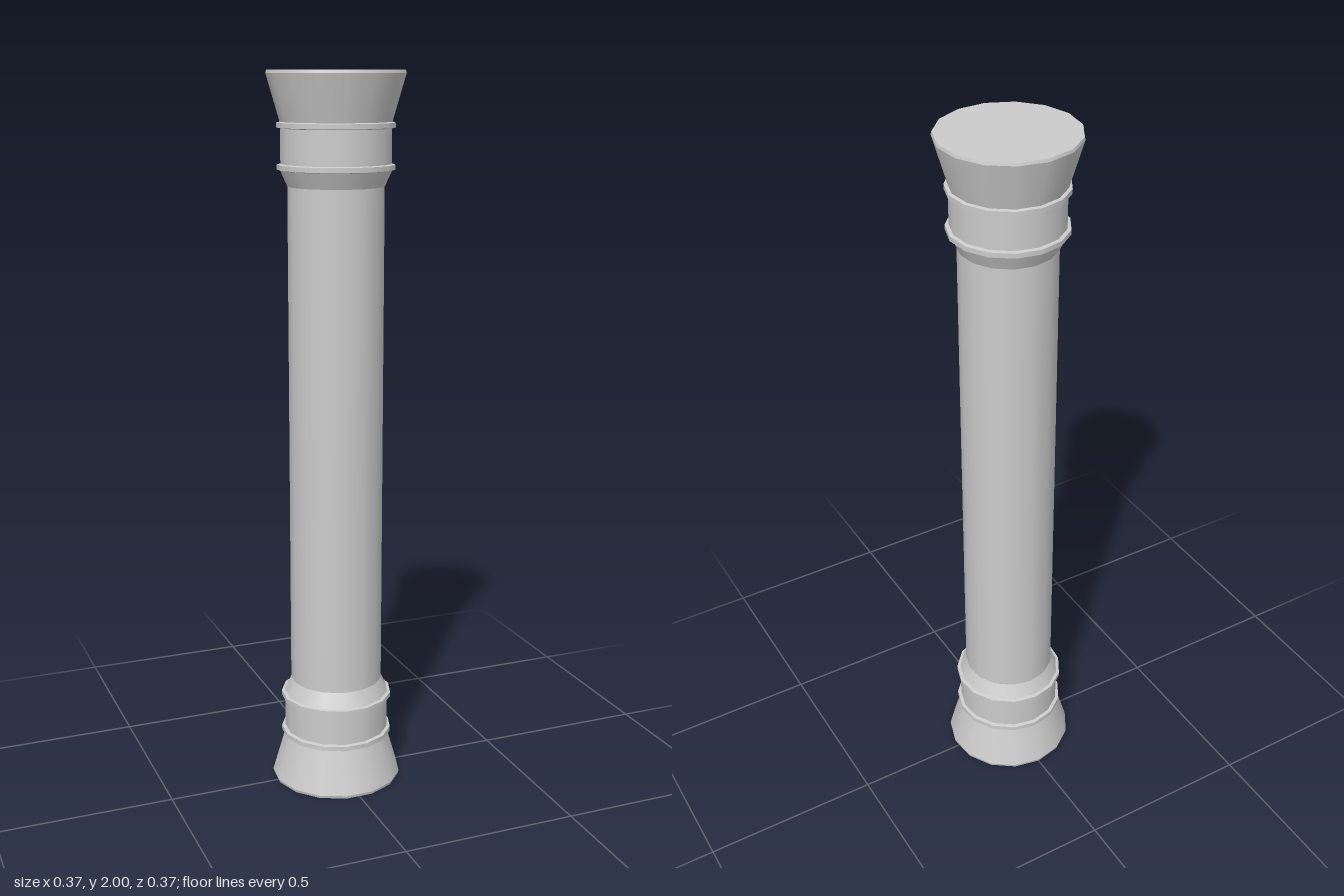
import * as THREE from 'three';
import { mergeGeometries } from 'three/addons/utils/BufferGeometryUtils.js';

const SIDES = 15;
const HEIGHT = 2;
const SHAFT_RADIUS = 0.13;

// Half profile of the foot as [radius, y], from the ground up to the shaft
const FOOT = [
  [0, 0], [0.183, 0], [0.185, 0.008],                       // underside and lip
  [0.149, 0.132], [0.158, 0.134], [0.158, 0.147], [0.148, 0.149], // flare, lower ring
  [0.148, 0.241], [0.158, 0.243], [0.158, 0.256], [0.149, 0.258], // band, upper ring
  [SHAFT_RADIUS, 0.3],                                      // taper into the shaft
];

// Turns a profile: smooth around the axis, sharp between bands
function turned(name, profile, material) {
  const bands = [];
  for (let i = 0; i < profile.length - 1; i++) {
    const ends = [profile[i], profile[i + 1]].map(([r, y]) => new THREE.Vector2(r, y));
    bands.push(new THREE.LatheGeometry(ends, SIDES, Math.PI));
  }
  const mesh = new THREE.Mesh(mergeGeometries(bands), material);
  mesh.name = name;
  return mesh;
}

export function createModel() {
  const column = new THREE.Group();
  column.name = 'column';
  const material = new THREE.MeshStandardMaterial({ color: 0xcccccc });

  // The capital is the foot turned upside down, listed from the bottom up
  const capital = FOOT.map(([r, y]) => [r, HEIGHT - y]).reverse();
  const shaft = [[SHAFT_RADIUS, 0.3], [SHAFT_RADIUS, HEIGHT - 0.3]];

  column.add(
    turned('base', FOOT, material),
    turned('shaft', shaft, material),
    turned('capital', capital, material),
  );
  return column;
}
